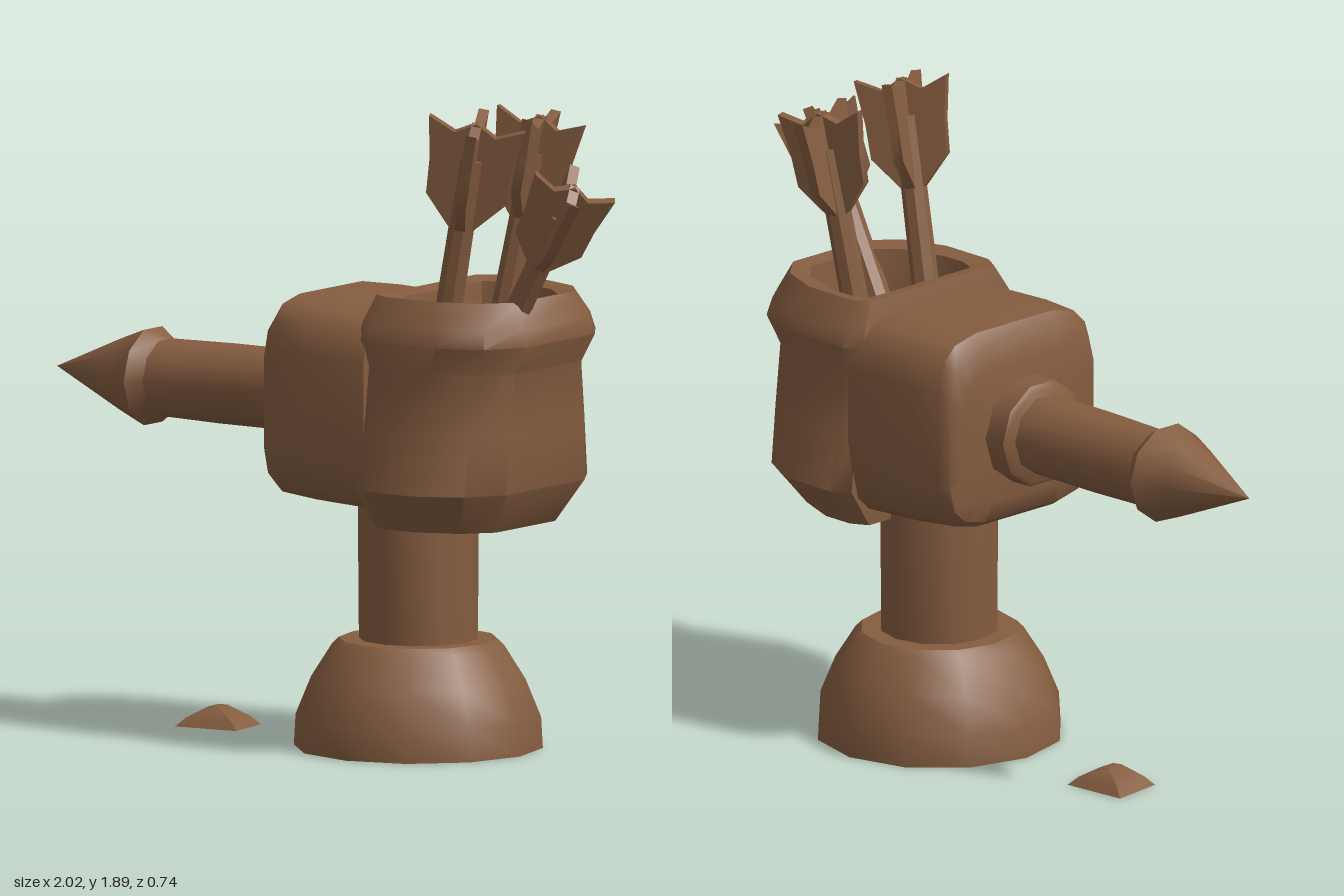
import * as THREE from 'three';
import { toCreasedNormals } from 'three/addons/utils/BufferGeometryUtils.js';

const wood = new THREE.MeshStandardMaterial({ color: 0x855d40 });
wood.name = 'brown wood';

function part(name, geometry, crease = 0.75) {
  const mesh = new THREE.Mesh(toCreasedNormals(geometry, crease), wood);
  mesh.name = name;
  return mesh;
}

// Skin a list of closed rings and cap both ends
function loft(rings) {
  const n = rings[0].length, pos = [], idx = [];
  rings.forEach(r => r.forEach(p => pos.push(...p)));
  for (let i = 0; i < rings.length - 1; i++) {
    for (let j = 0; j < n; j++) {
      const k = (j + 1) % n, a = i * n + j, b = i * n + k;
      idx.push(a, b, b + n, a, b + n, a + n);
    }
  }
  [0, rings.length - 1].forEach((r, end) => {
    const c = pos.length / 3;
    for (let d = 0; d < 3; d++) pos.push(rings[r].reduce((s, p) => s + p[d], 0) / n);
    for (let j = 0; j < n; j++) {
      const a = r * n + j, b = r * n + (j + 1) % n;
      if (end) idx.push(c, a, b); else idx.push(c, b, a);
    }
  });
  const g = new THREE.BufferGeometry();
  g.setAttribute('position', new THREE.Float32BufferAttribute(pos, 3));
  g.setIndex(idx);
  return g;
}

function lathe(points, sides) {
  return new THREE.LatheGeometry(points.map(p => new THREE.Vector2(...p)), sides);
}

// Horizontal quiver section: square against the head, chamfered at the far side
function quiverRing([y, x0, x1, h]) {
  const half = [[x1, 0.52], [x1 - 0.07, 0.82], [x1 - 0.2, 1], [x0 + 0.05, 1], [x0, 0.9]];
  const back = half.map(([x, k]) => [x, y, -k * h]);
  const front = half.map(([x, k]) => [x, y, k * h]).reverse();
  return [...back, ...front];
}

// Rounded square head section across x
function headRing([x, low, high, h]) {
  const soft = v => Math.sign(v) * Math.pow(Math.abs(v), 0.42);
  return Array.from({ length: 16 }, (_, i) => {
    const t = (i + 0.5) / 16 * Math.PI * 2;
    return [x, (low + high) / 2 + soft(Math.cos(t)) * (high - low) / 2, soft(Math.sin(t)) * h];
  });
}

// Fletched arrow whose shaft runs from one point to another
function arrow(name, from, to, size, turn) {
  const group = new THREE.Group();
  group.name = name;
  const a = new THREE.Vector3(...from), dir = new THREE.Vector3(...to).sub(a);
  const length = dir.length();
  const shaft = new THREE.CylinderGeometry(0.036, 0.042, length - 0.1, 8);
  shaft.translate(0, (length - 0.1) / 2, 0);
  group.add(part('arrowShaft', shaft));
  const side = [[0.035, 0], [0.115, 0.09], [0.12, 0.19], [0.14, 0.32], [0.06, 0.285]];
  const outline = [...side, [0, 0.32], ...side.map(([x, y]) => [-x, y]).reverse()];
  const shape = new THREE.Shape(outline.map(([x, y]) => new THREE.Vector2(x * size, y * size)));
  for (let i = 0; i < 2; i++) {
    const fin = new THREE.ExtrudeGeometry(shape, { depth: 0.03, bevelEnabled: false });
    fin.translate(0, length - 0.31 * size, -0.015);
    fin.rotateY(turn + i * Math.PI / 2);
    group.add(part('arrowFin', fin));
  }
  group.position.copy(a);
  group.quaternion.setFromUnitVectors(new THREE.Vector3(0, 1, 0), dir.normalize());
  return group;
}

export function createModel() {
  const model = new THREE.Group();
  model.name = 'arrowLauncher';

  // Foot and column
  const base = part('base', lathe([[0, 0], [0.36, 0], [0.355, 0.09], [0.31, 0.2], [0.25, 0.295],
    [0.23, 0.315], [0.16, 0.315]], 12));
  const column = part('column', lathe([[0.172, 0.3], [0.174, 0.55], [0.174, 0.8]], 12));
  base.position.x = column.position.x = 0.28;
  model.add(base, column);

  // Head block
  model.add(part('head', loft([
    [-0.075, 0.8, 1.2, 0.25], [-0.06, 0.74, 1.27, 0.29], [-0.03, 0.72, 1.31, 0.305],
    [0.1, 0.71, 1.31, 0.325], [0.32, 0.7, 1.3, 0.33],
  ].map(headRing))));

  // Quiver: outside from bottom to rim, then down into the opening
  model.add(part('quiver', loft([
    [0.67, 0.31, 0.66, 0.28], [0.79, 0.3, 0.73, 0.37], [0.96, 0.3, 0.735, 0.345],
    [1.14, 0.295, 0.74, 0.315], [1.22, 0.285, 0.78, 0.335], [1.27, 0.29, 0.77, 0.32],
    [1.345, 0.31, 0.735, 0.275], [1.335, 0.36, 0.69, 0.225], [1.22, 0.37, 0.68, 0.21],
    [1.0, 0.37, 0.68, 0.2],
  ].map(quiverRing))));

  // Loaded bolt: collar, shaft and pointed head along -x
  const bolt = [
    part('collar', lathe([[0.14, 0.03], [0.16, 0.05], [0.158, 0.145], [0.145, 0.155], [0, 0.155]], 10)),
    part('boltShaft', lathe([[0.118, 0.1], [0.118, 0.4], [0.113, 0.65]], 10)),
    part('boltTip', lathe([[0, 0.615], [0.113, 0.615], [0.146, 0.66], [0.11, 0.75], [0, 1.0]], 10)),
  ];
  bolt.forEach(b => { b.rotation.z = Math.PI / 2; b.position.y = 0.997; model.add(b); });

  // Spare arrows
  model.add(
    arrow('frontArrow', [0.43, 1.03, 0.13], [0.61, 1.85, 0.17], 1, 0.5),
    arrow('backArrow', [0.45, 1.03, -0.11], [0.585, 1.83, -0.18], 0.95, 0.3),
    arrow('outerArrow', [0.55, 1.03, 0.1], [0.925, 1.69, 0.13], 0.88, 0.7),
  );

  // Loose chip on the ground
  const chipRing = (y, x, z) => [[x, y, 0.7 * z], [0.8 * x, y, -z], [-x, y, -0.8 * z], [-0.8 * x, y, z]];
  const chip = part('chip', loft([chipRing(0, 0.11, 0.09), chipRing(0.025, 0.08, 0.07), chipRing(0.058, 0.015, 0.03)]));
  chip.position.x = -0.43;
  model.add(chip);

  return model;
}
